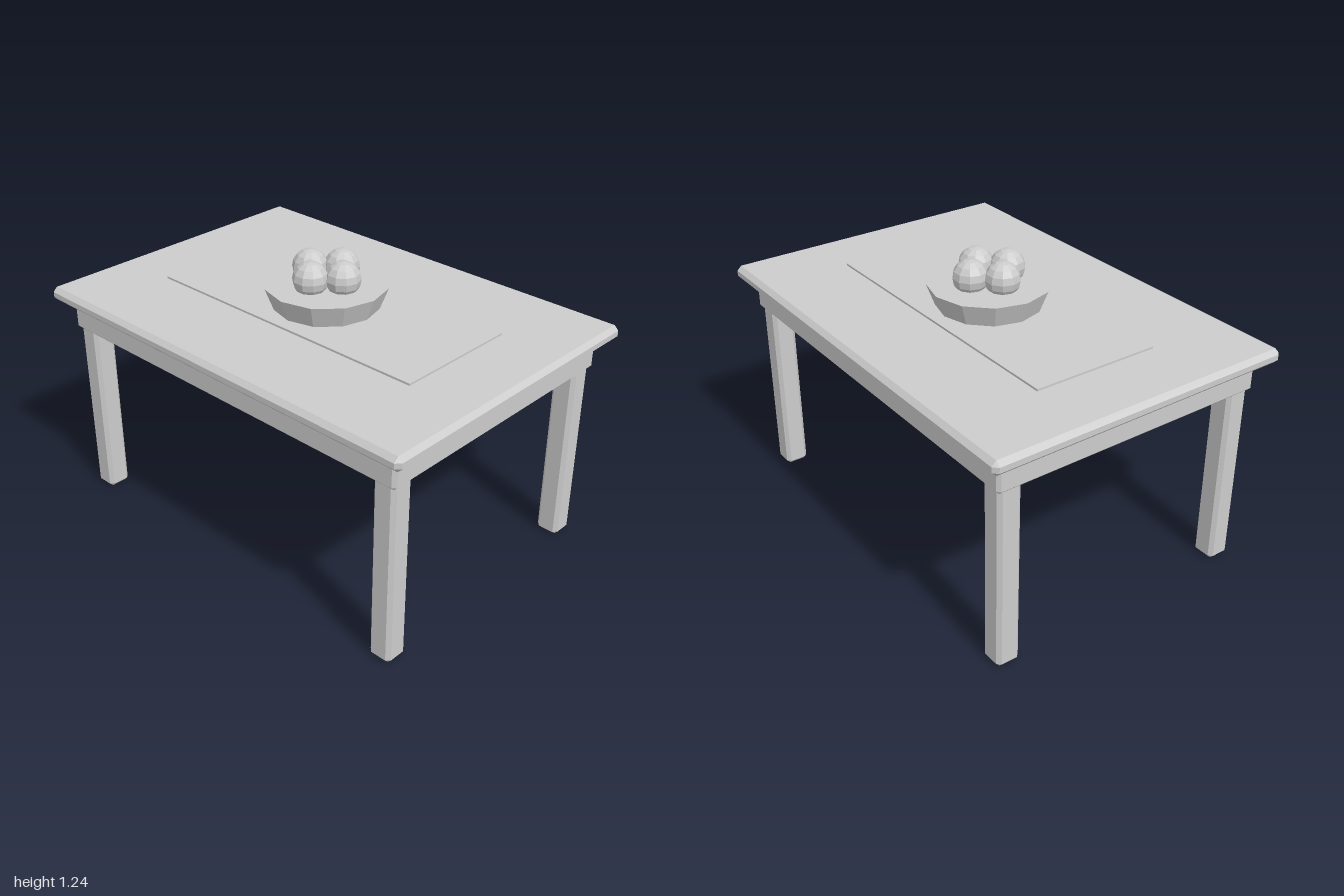
import * as THREE from 'three';
import { ConvexGeometry } from 'three/addons/geometries/ConvexGeometry.js';

const material = new THREE.MeshStandardMaterial({ color: 0xcccccc, flatShading: true });

// Box with every edge cut by a single bevel c
function bevelBox(w, h, d, c) {
  const points = [];
  for (const x of [-w / 2, w / 2])
    for (const y of [-h / 2, h / 2])
      for (const z of [-d / 2, d / 2]) {
        const [sx, sy, sz] = [x, y, z].map((v) => Math.sign(v) * c);
        points.push(
          new THREE.Vector3(x, y - sy, z - sz),
          new THREE.Vector3(x - sx, y, z - sz),
          new THREE.Vector3(x - sx, y - sy, z)
        );
      }
  return new ConvexGeometry(points);
}

export function createModel() {
  const model = new THREE.Group();
  model.name = 'diningTable';

  function add(name, geometry, x, y, z, parent = model) {
    const mesh = new THREE.Mesh(geometry, material);
    mesh.name = name;
    mesh.position.set(x, y, z);
    parent.add(mesh);
    return mesh;
  }

  // Table top and the solid apron beneath it
  add('tableTop', bevelBox(2, 0.064, 1.396, 0.02), 0, 0.983, 0);
  add('apron', bevelBox(1.862, 0.13, 1.266, 0.014), 0, 0.883, 0);

  // Four square legs, set just inside the apron
  const legGeometry = bevelBox(0.104, 0.85, 0.104, 0.016);
  for (const [sx, side] of [[1, 'Left'], [-1, 'Right']])
    for (const [sz, end] of [[1, 'front'], [-1, 'back']])
      add(`${end}${side}Leg`, legGeometry, sx * 0.867, 0.425, sz * 0.567);

  // Cloth runner along the middle
  add('runner', new THREE.BoxGeometry(1.4, 0.012, 0.574), 0, 1.018, 0);

  // Faceted bowl with a ring of four fruits
  const fruitBowl = new THREE.Group();
  fruitBowl.name = 'fruitBowl';
  model.add(fruitBowl);
  add('bowl', new THREE.CylinderGeometry(0.266, 0.228, 0.1, 12), 0, 1.072, 0, fruitBowl);
  const fruitGeometry = new THREE.SphereGeometry(0.077, 10, 8);
  for (let i = 0; i < 4; i++) {
    const a = (i * Math.PI) / 2;
    add('fruit', fruitGeometry, Math.cos(a) * 0.095, 1.167, Math.sin(a) * 0.095, fruitBowl);
  }

  return model;
}
